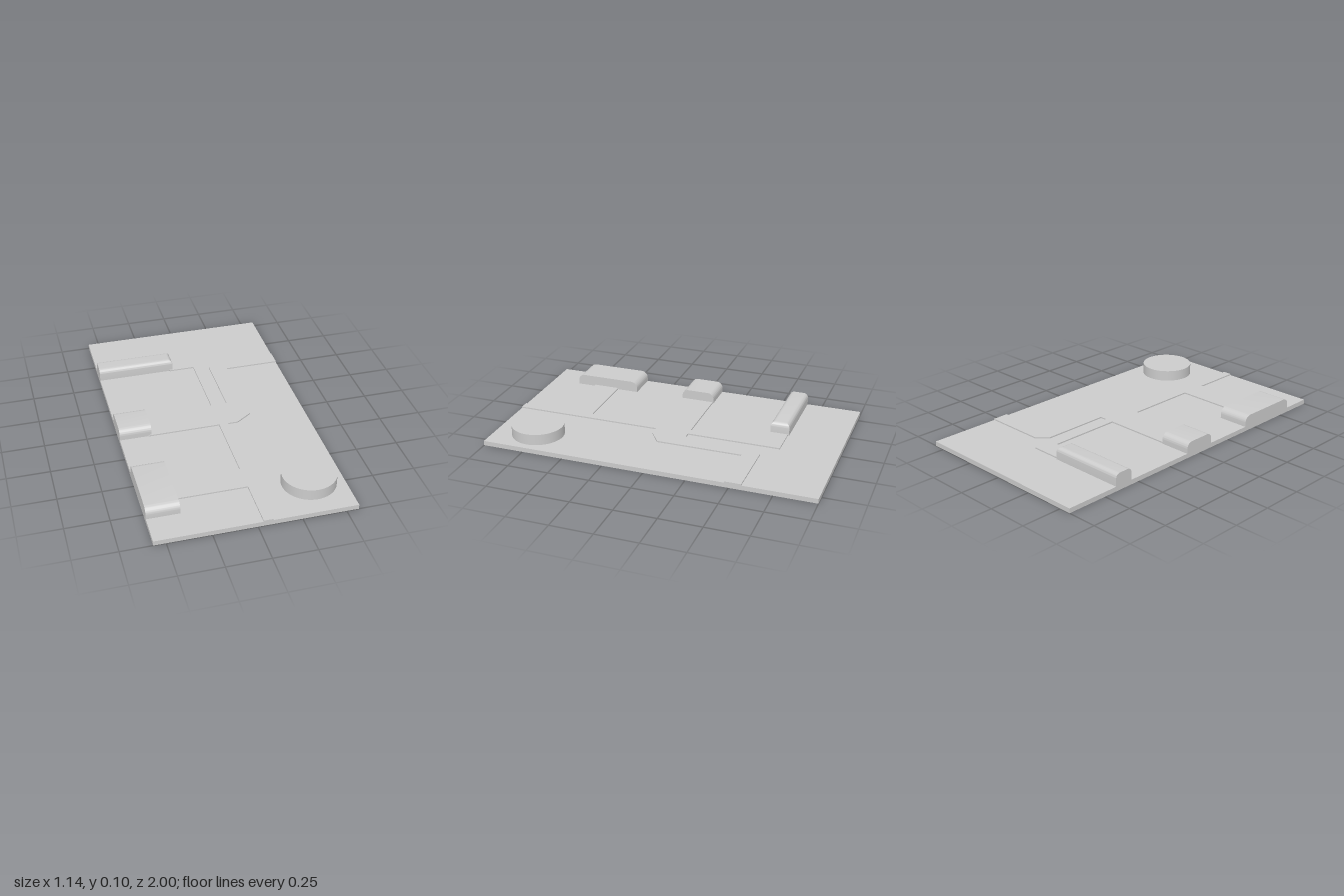
import * as THREE from 'three';
import { toCreasedNormals } from 'three/addons/utils/BufferGeometryUtils.js';

const BASE = 0.028;   // top of the board
const LEFT_EDGE = -0.57;

export function createModel() {
  const group = new THREE.Group();
  const material = new THREE.MeshStandardMaterial({ color: 0xcccccc });
  const add = (name, geometry, x, y, z) => {
    const mesh = new THREE.Mesh(geometry, material);
    mesh.name = name;
    mesh.position.set(x, y, z);
    group.add(mesh);
  };

  // flat board
  add('board', new THREE.BoxGeometry(1.14, BASE, 2), 0, BASE / 2, 0);

  // thin raised tracks, one connected outline given as x, z
  const outline = [
    [-0.4, -0.1], [0.035, -0.1], [0.035, -0.545], [-0.12, -0.545], [-0.12, -0.66],
    [0.088, -0.66], [0.088, -0.1], [0.132, -0.1], [0.132, -0.51], [0.194, -0.572],
    [0.57, -0.572], [0.57, -0.475], [0.24, -0.475], [0.24, 0.04], [0.145, 0.105],
    [0.085, 0.105], [0.085, 1], [0.03, 1], [0.03, 0.705], [-0.4, 0.705],
    [-0.4, 0.545], [0.03, 0.545], [0.03, 0.105], [-0.4, 0.105],
  ];
  const trackShape = new THREE.Shape(outline.map(([x, z]) => new THREE.Vector2(x, z)));
  const tracks = new THREE.ExtrudeGeometry(trackShape, { depth: 0.008, bevelEnabled: false });
  tracks.rotateX(Math.PI / 2);
  add('raisedTracks', tracks, 0, BASE + 0.008, 0);

  // block along x with rounded long top edges, and optionally a rounded end
  function block(name, length, z0, z1, top, r, roundEnd) {
    const w = (z1 - z0) / 2, h = top - BASE;
    const shape = new THREE.Shape();
    shape.moveTo(-w, 0);
    shape.lineTo(w, 0);
    shape.lineTo(w, h - r);
    shape.absarc(w - r, h - r, r, 0, Math.PI / 2, false);
    shape.absarc(-w + r, h - r, r, Math.PI / 2, Math.PI, false);
    shape.closePath();
    const steps = roundEnd ? 9 : 1;
    const geometry = new THREE.ExtrudeGeometry(shape, {
      depth: length, steps, bevelEnabled: false, curveSegments: 8,
    });
    geometry.rotateY(Math.PI / 2);
    if (roundEnd) {
      // gather the sections at the end and lower them along an arc
      const p = geometry.attributes.position;
      for (let i = 0; i < p.count; i++) {
        const section = Math.round((p.getX(i) / length) * steps);
        if (section === 0) continue;
        const a = ((section - 1) / (steps - 1)) * Math.PI / 2;
        p.setX(i, length - r + r * Math.sin(a));
        p.setY(i, Math.min(p.getY(i), h - r + r * Math.cos(a)));
      }
    }
    add(name, toCreasedNormals(geometry, 0.5), LEFT_EDGE, BASE, (z0 + z1) / 2);
  }
  block('wideBlock', 0.19, 0.412, 0.82, 0.094, 0.042, false);
  block('smallBlock', 0.19, -0.105, 0.1, 0.094, 0.038, false);
  block('longBlock', 0.47, -0.667, -0.552, 0.102, 0.028, true);

  // round pad near the front corner
  const padHeight = 0.094 - BASE;
  add('roundPad', new THREE.CylinderGeometry(0.156, 0.156, padHeight, 64),
    0.37, BASE + padHeight / 2, 0.743);

  return group;
}
